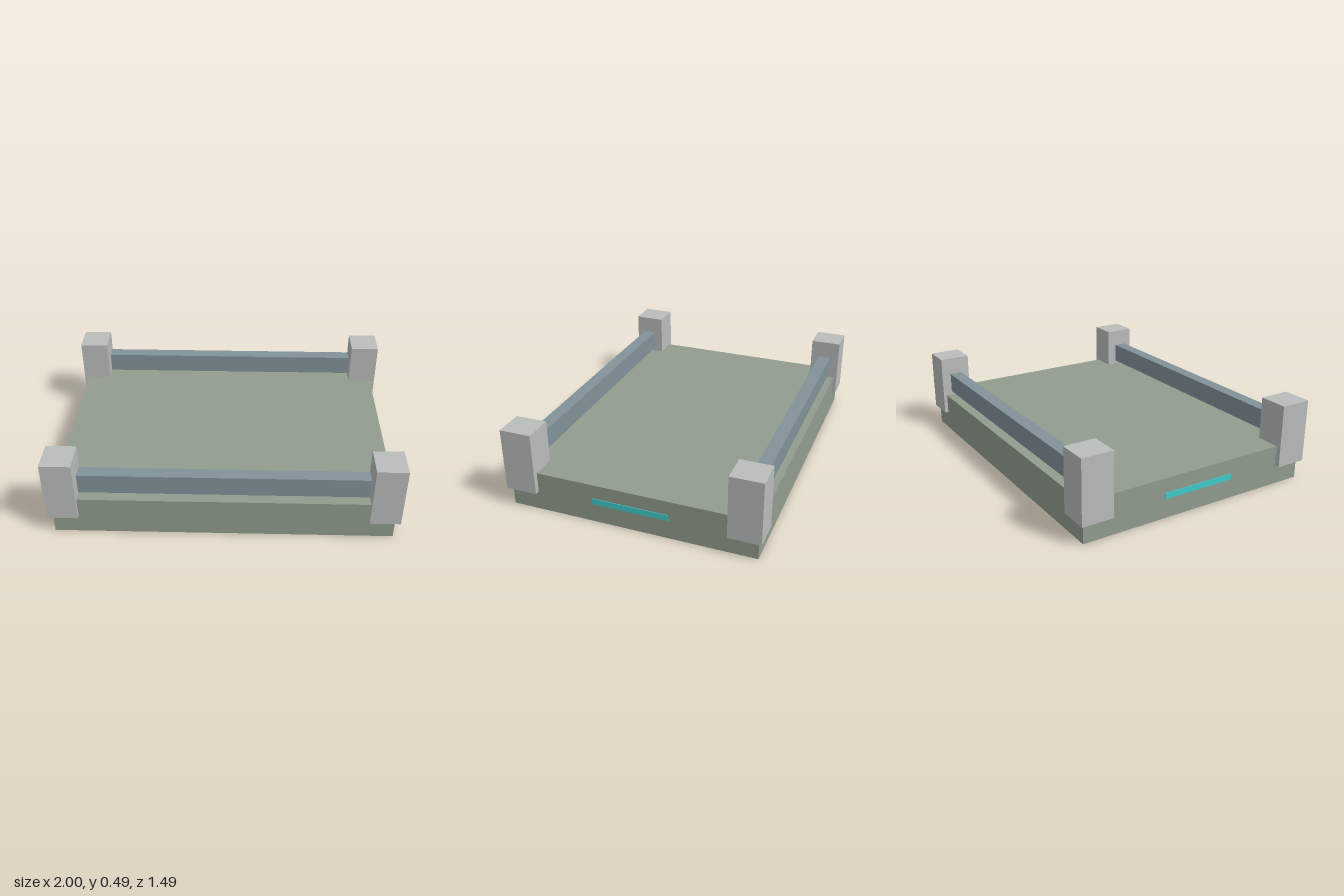
import * as THREE from 'three';

export function createModel() {
  const model = new THREE.Group();
  model.name = 'railedPlatform';

  const material = (name, color) => {
    const m = new THREE.MeshStandardMaterial({ color });
    m.name = name;
    return m;
  };
  const sage = material('sageGreen', 0x919d8e);
  const grey = material('lightGrey', 0xb9bdbc);
  const slate = material('slateBlue', 0x82929a);
  const cyan = material('cyan', 0x40cbc9);

  const box = (name, mat, w, h, d, x, y, z) => {
    const mesh = new THREE.Mesh(new THREE.BoxGeometry(w, h, d), mat);
    mesh.name = name;
    mesh.position.set(x, y, z);
    model.add(mesh);
  };

  // Broad slab
  box('platform', sage, 1.942, 0.235, 1.448, 0, 0.1175, 0);

  for (const s of [-1, 1]) {
    // Corner posts overhanging the slab
    for (const t of [-1, 1]) {
      const name = (t > 0 ? 'front' : 'back') + (s > 0 ? 'Left' : 'Right') + 'Post';
      box(name, grey, 0.175, 0.372, 0.186, s * 0.9125, 0.3, t * 0.653);
    }
    // Rails along the front and back, just short of the posts
    box(s > 0 ? 'frontRail' : 'backRail', slate, 1.634, 0.12, 0.077, 0, 0.322, s * 0.653);
    // Thin light strips on the sides
    box(s > 0 ? 'leftStrip' : 'rightStrip', cyan, 0.008, 0.036, 0.448, s * 0.971, 0.132, 0);
  }

  return model;
}
